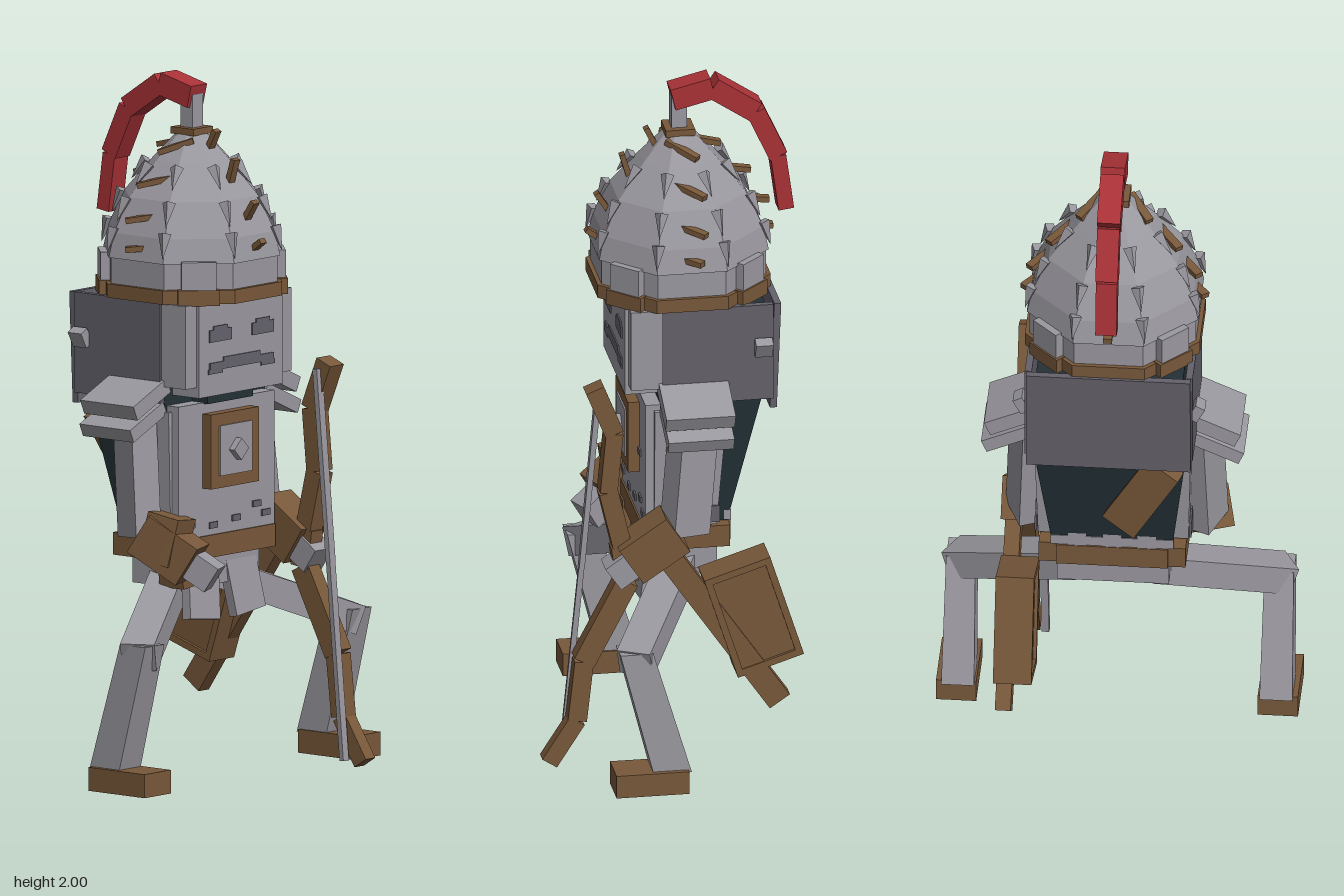
import * as THREE from 'three';

const mat = (name, color) => Object.assign(new THREE.MeshStandardMaterial({ color, flatShading: true }), { name });
const V = (x, y, z) => new THREE.Vector3(x, y, z);

export function createModel() {
  const steel = mat('steel', 0x9a989f), mail = mat('dark mail', 0x64616b), leather = mat('leather', 0x78583a);
  const cloth = mat('dark cloth', 0x243137), red = mat('plume red', 0xa93237);
  const root = new THREE.Group();
  root.name = 'knight';
  const group = (name, parent = root) => {
    const g = new THREE.Group();
    g.name = name;
    parent.add(g);
    return g;
  };
  const add = (name, geo, m, parent = root) => {
    const mesh = new THREE.Mesh(geo, m);
    mesh.name = name;
    parent.add(mesh);
    return mesh;
  };
  const box = (name, m, [w, h, d], [x, y, z], rot = [0, 0, 0], parent = root) => {
    const b = add(name, new THREE.BoxGeometry(w, h, d), m, parent);
    b.position.set(x, y, z);
    b.rotation.set(...rot);
    return b;
  };
  // box stretched between two points: w is horizontal, h is across
  const bar = (name, m, a, b, w, h, parent = root) => {
    const mesh = add(name, new THREE.BoxGeometry(w, h, a.distanceTo(b)), m, parent);
    mesh.position.copy(a).add(b).multiplyScalar(0.5);
    mesh.lookAt(b);
    return mesh;
  };
  // box whose bottom ring is narrower than its top: [half width, back z, front z]
  const taper = (name, m, y0, y1, bottom, top) => {
    const g = new THREE.BoxGeometry(2, 2, 2), p = g.attributes.position;
    for (let i = 0; i < p.count; i++) {
      const up = p.getY(i) > 0, [w, back, front] = up ? top : bottom;
      p.setXYZ(i, p.getX(i) * w, up ? y1 : y0, p.getZ(i) > 0 ? front : back);
    }
    g.computeVertexNormals();
    return add(name, g, m);
  };

  // Helmet: eight-sided dome with flats to the front and sides
  const helmet = group('helmet');
  helmet.position.z = -0.055;
  const profile = [[0.245, 1.49], [0.23, 1.56], [0.185, 1.66], [0.105, 1.76], [0.035, 1.84]];
  const k = 1 / Math.cos(Math.PI / 8);
  const lathe = (name, m, pts) => {
    const g = new THREE.LatheGeometry(pts.map(([r, y]) => new THREE.Vector2(r * k, y)), 8);
    g.rotateY(Math.PI / 8);
    return add(name, g, m, helmet);
  };
  lathe('dome', steel, [...profile, [0.0001, 1.84]]);
  lathe('rimBand', steel, [[0.2, 1.4], [0.238, 1.4], [0.238, 1.49], [0.2, 1.49]]);
  lathe('leatherBand', leather, [[0.0001, 1.375], [0.25, 1.375], [0.25, 1.415], [0.2, 1.415]]);
  for (let i = 0; i < 8; i++) {
    const side = group('helmetSide', helmet);
    side.rotation.y = i * Math.PI / 4;
    if (i % 2) {
      box('cornerBlock', steel, [0.1, 0.085, 0.03], [0, 1.455, 0.25], [0, 0, 0], side);
      box('cornerLeather', leather, [0.12, 0.045, 0.03], [0, 1.395, 0.255], [0, 0, 0], side);
    } else {
      for (let j = 0; j < 4; j++) {
        const [r0, y0] = profile[j], [r1, y1] = profile[j + 1];
        bar('rib', leather, V(0, y0, r0), V(0, y1, r1), 0.025, 0.016, side);
      }
    }
    // studs lie along the ridges between the flats
    const ridge = group('studRow', helmet);
    ridge.rotation.y = (i + 0.5) * Math.PI / 4;
    for (const [r, y, lean] of [[0.24, 1.54, 0.3], [0.207, 1.625, 0.45], [0.146, 1.72, 0.67]]) {
      const g = new THREE.ConeGeometry(0.02, 0.075, 4);
      const stud = add('stud', g, steel, ridge);
      stud.position.set(0, y, r * k);
      stud.rotation.x = Math.PI - lean;
    }
  }
  box('plumeCollar', leather, [0.085, 0.02, 0.085], [0, 1.84, 0], [0, 0, 0], helmet);
  box('plumeSocket', steel, [0.045, 0.11, 0.045], [0, 1.89, 0], [0, 0, 0], helmet);

  // Plume
  const chain = (name, m, pts, w, h, parent) => {
    for (let i = 0; i + 1 < pts.length; i++) bar(name, m, pts[i], pts[i + 1], w - i * 0.003, h[i], parent);
  };
  chain('plume', red, [V(0, 1.94, -0.035), V(0, 1.968, -0.15), V(0, 1.885, -0.275), V(0, 1.745, -0.34),
    V(0, 1.58, -0.363)], 0.07, [0.065, 0.062, 0.055, 0.045], group('plumeFeather'));

  // Head: faceplate in front, mail curtain at the sides and back
  box('faceplate', steel, [0.37, 0.27, 0.15], [0, 1.24, 0.055]);
  for (const s of [-1, 1]) {
    box('cheekGuard', steel, [0.05, 0.24, 0.1], [s * 0.208, 1.255, 0.07]);
    box('sideMail', mail, [0.02, 0.29, 0.32], [s * 0.23, 1.232, -0.13]);
    box('eyeSlit', mail, [0.095, 0.035, 0.006], [s * 0.093, 1.278, 0.131]);
    box('browNotch', mail, [0.06, 0.012, 0.006], [s * 0.093, 1.3, 0.131]);
    box('breathHole', mail, [0.06, 0.014, 0.006], [s * 0.115, 1.176, 0.131]);
  }
  box('mouthSlit', mail, [0.28, 0.022, 0.006], [0, 1.19, 0.131]);
  box('mouthTop', mail, [0.16, 0.012, 0.006], [0, 1.207, 0.131]);
  box('backMail', mail, [0.47, 0.32, 0.02], [0, 1.217, -0.297], [-0.04, 0, 0]);
  box('headCore', cloth, [0.42, 0.26, 0.3], [0, 1.22, -0.13]);
  for (const s of [-1, 1]) box('mailClasp', steel, [0.03, 0.05, 0.05], [s * 0.25, 1.25, -0.26], [0, 0, -s * 0.5]);

  // Torso
  taper('tunic', cloth, 0.68, 1.13, [0.17, -0.165, 0.04], [0.225, -0.27, 0.03]);
  box('breastplate', steel, [0.42, 0.385, 0.1], [0, 0.885, 0.025]);
  box('neckGap', cloth, [0.2, 0.035, 0.08], [0, 1.092, 0.05]);
  taper('sidePlates', steel, 0.7, 1.06, [0.215, -0.13, 0.05], [0.225, -0.16, 0.05]);
  box('emblemFrame', leather, [0.21, 0.215, 0.035], [0, 0.938, 0.09]);
  box('emblemPlate', steel, [0.14, 0.145, 0.04], [0, 0.938, 0.092]);
  box('emblemStud', steel, [0.045, 0.045, 0.025], [0, 0.938, 0.12], [0, 0, Math.PI / 4]);
  for (const [x, y] of [[0.12, 0.9], [0.13, 0.76], [-0.16, 0.73], [-0.06, 0.72], [0.04, 0.73], [0.17, 0.73]])
    box('mailPatch', mail, [0.035, 0.018, 0.006], [x, y, 0.077]);
  for (const s of [-1, 1]) for (let i = 0; i < 5; i++)
    box('mailHem', mail, [0.006, 0.05 + (i % 2) * 0.03, 0.035], [s * 0.221, 0.735 + (i % 2) * 0.012, -0.12 + i * 0.035]);
  for (let i = 0; i < 7; i++)
    box('backHem', steel, [0.052, 0.03 + (i % 2) * 0.02, 0.02], [-0.15 + i * 0.05, 0.71, -0.168]);
  bar('backSheath', leather, V(-0.16, 1.04, -0.25), V(-0.03, 0.81, -0.215), 0.06, 0.11);

  // Belt and hips
  box('belt', leather, [0.42, 0.065, 0.25], [0, 0.66, -0.045]);
  box('beltBack', leather, [0.32, 0.065, 0.03], [0, 0.66, -0.165]);
  box('pelvis', steel, [0.32, 0.09, 0.2], [0, 0.59, -0.04]);
  for (const s of [-1, 1]) {
    box('tasset', steel, [0.13, 0.18, 0.03], [s * 0.09, 0.54, 0.055], [-0.15, 0, s * 0.12]);

    // Arms
    const arm = group(s > 0 ? 'leftArm' : 'rightArm');
    box('upperPauldron', steel, [0.16, 0.045, 0.2], [s * 0.285, 1.105, -0.06], [0, 0, -s * 0.42], arm);
    box('lowerPauldron', steel, [0.16, 0.04, 0.19], [s * 0.295, 1.04, -0.06], [0, 0, -s * 0.42], arm);
    bar('upperArm', steel, V(s * 0.245, 1.04, -0.06), V(s * 0.258, 0.7, -0.03), 0.08, 0.12, arm);
    bar('forearm', leather, V(s * 0.275, 0.72, 0.0), V(s * (s > 0 ? 0.275 : 0.22), 0.63, 0.135), 0.11, 0.125, arm);
    bar('hand', steel, V(s * (s > 0 ? 0.275 : 0.21), 0.635, 0.12), V(s * (s > 0 ? 0.275 : 0.18), 0.59, 0.185), 0.08, 0.08, arm);

    // Legs
    const leg = group(s > 0 ? 'leftLeg' : 'rightLeg');
    bar('thigh', steel, V(s * 0.1, 0.555, -0.05), V(s * 0.475, 0.395, 0.15), 0.1, 0.085, leg);
    const shin = taper('shin', steel, 0.06, 0.43, [0.047, -0.01, 0.1], [0.042, 0.1, 0.195]);
    shin.position.x = s * 0.455;
    leg.add(shin);
    box('foot', leather, [0.115, 0.068, 0.21], [s * 0.46, 0.034, 0.105], [0, 0, 0], leg);
  }
  box('rightPouch', leather, [0.11, 0.14, 0.1], [-0.245, 0.7, 0.06], [0.2, 0.2, -0.15]);
  box('pouchFlap', leather, [0.09, 0.09, 0.09], [-0.16, 0.6, 0.04], [0, 0, 0.1]);

  // Hip quiver and scabbard
  const hip = group('hipGear');
  bar('scabbard', leather, V(0.295, 0.7, 0.06), V(0.3, 0.185, -0.295), 0.045, 0.07, hip);
  const quiver = group('quiver', hip);
  quiver.position.set(0.27, 0.45, -0.22);
  quiver.rotation.x = 0.31;
  box('quiverBody', leather, [0.09, 0.32, 0.19], [0, 0, 0], [0, 0, 0], quiver);
  for (const s of [-1, 1]) {
    box('quiverEdge', leather, [0.11, 0.32, 0.02], [0, 0, s * 0.09], [0, 0, 0], quiver);
    box('quiverEnd', leather, [0.11, 0.02, 0.19], [0, s * 0.15, 0], [0, 0, 0], quiver);
  }

  // Bow
  const bow = group('bow');
  const limbs = [[1.17, 0.235], [1.03, 0.178], [0.85, 0.195], [0.68, 0.155], [0.57, 0.14], [0.33, 0.265],
    [0.15, 0.285], [0.025, 0.365]].map(([y, z]) => V(0.268, y, z));
  chain('bowLimb', leather, limbs, 0.06, [0.055, 0.05, 0.055, 0.065, 0.065, 0.055, 0.05], bow);
  chain('bowString', steel, [V(0.235, 1.15, 0.215), V(0.235, 0.6, 0.265), V(0.23, 0.03, 0.32)], 0.025,
    [0.016, 0.016], bow);
  return root;
}
